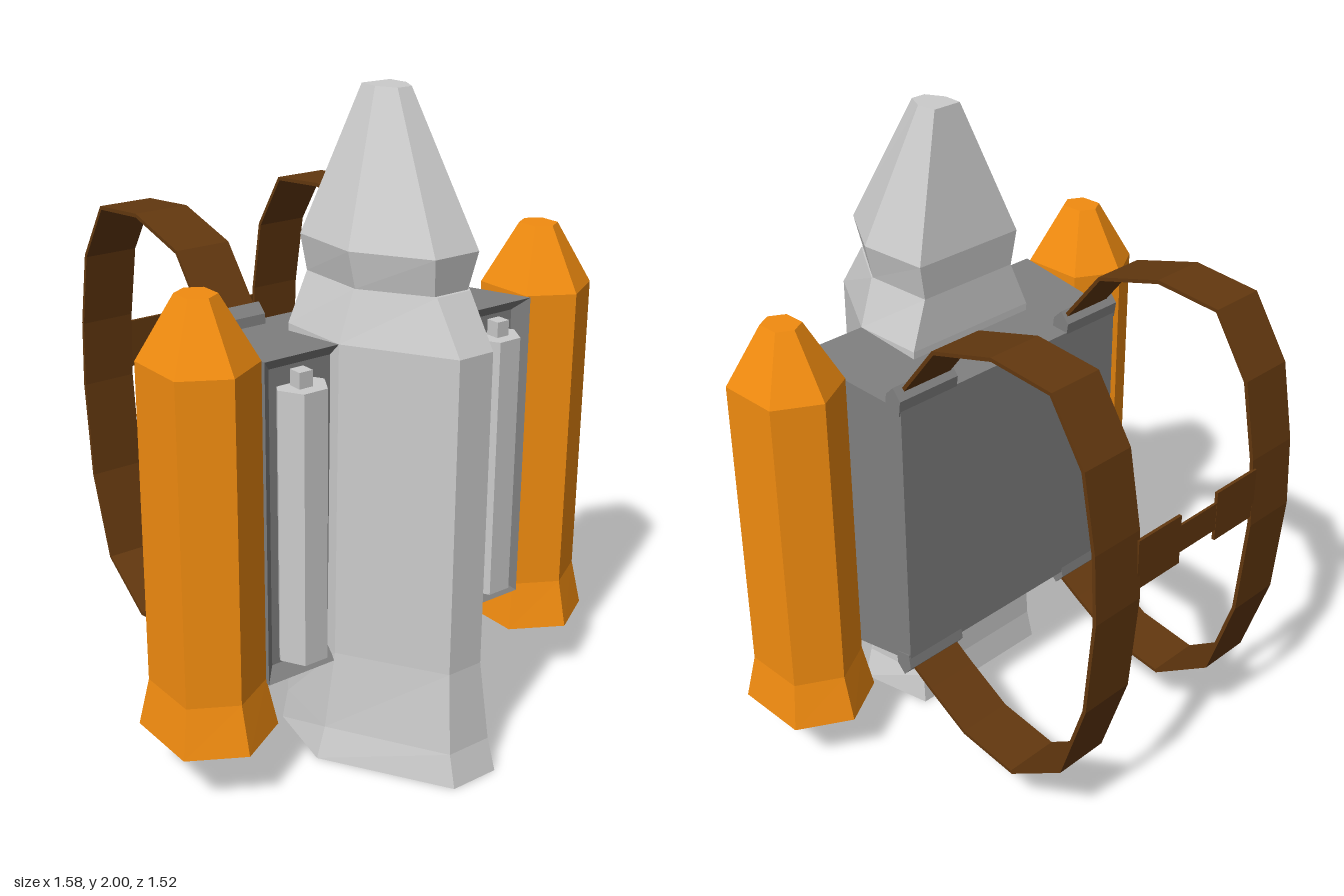
import * as THREE from 'three';

const material = (color) => new THREE.MeshStandardMaterial({ color, flatShading: true, side: THREE.DoubleSide });
const grey = material(0xcccccc);
const darkGrey = material(0x808080);
const orange = material(0xf28c10);
const brown = material(0x63380f);

// Skin a list of convex cross-sections and cap both ends
function loft(sections) {
  const n = sections[0].length;
  const index = [];
  for (let i = 0; i < sections.length - 1; i++) {
    for (let j = 0; j < n; j++) {
      const a = i * n + j, b = i * n + (j + 1) % n;
      index.push(a, b, b + n, a, b + n, a + n);
    }
  }
  const last = (sections.length - 1) * n;
  for (let j = 1; j < n - 1; j++) {
    index.push(0, j + 1, j, last, last + j, last + j + 1);
  }
  const geometry = new THREE.BufferGeometry();
  geometry.setAttribute('position', new THREE.Float32BufferAttribute(sections.flat(2), 3));
  geometry.setIndex(index);
  const flat = geometry.toNonIndexed();
  flat.computeVertexNormals();
  return flat;
}

function add(parent, name, geometry, mat, x = 0, y = 0, z = 0) {
  const mesh = new THREE.Mesh(geometry, mat);
  mesh.name = name;
  mesh.position.set(x, y, z);
  parent.add(mesh);
  return mesh;
}

// Six-sided rocket section: narrow front, widest sides, flat back
const rocketRing = ([y, frontX, frontZ, sideX, sideZ, backX, backZ]) => [
  [frontX, y, frontZ], [sideX, y, sideZ], [backX, y, backZ],
  [-backX, y, backZ], [-sideX, y, sideZ], [-frontX, y, frontZ],
];

// Hexagon with points towards front and back
const boosterRing = ([y, rx, rz]) => [
  [0, y, rz], [rx, y, rz * 0.57], [rx, y, -rz * 0.57],
  [0, y, -rz], [-rx, y, -rz * 0.57], [-rx, y, rz * 0.57],
];

const packRing = ([z, x, y0, y1]) => [[-x, y0, z], [x, y0, z], [x, y1, z], [-x, y1, z]];

// Extrude a (z, y) outline across x, centred on x = 0
function extrudeAcross(points, width) {
  const shape = new THREE.Shape(points.map(([z, y]) => new THREE.Vector2(-z, y)));
  return new THREE.ExtrudeGeometry(shape, { depth: width, bevelEnabled: false })
    .translate(0, 0, -width / 2).rotateY(Math.PI / 2);
}

// Strap outline: a path thickened towards the inside of the loop
function strapOutline(path, thickness) {
  const inner = path.map((p, i) => {
    const a = path[Math.max(i - 1, 0)], b = path[Math.min(i + 1, path.length - 1)];
    const dz = b[0] - a[0], dy = b[1] - a[1], len = Math.hypot(dz, dy);
    return [p[0] - dy / len * thickness, p[1] + dz / len * thickness];
  });
  return [...path, ...inner.reverse()];
}

export function createModel() {
  const model = new THREE.Group();
  model.name = 'rocketPack';

  // Central rocket with a hollow flared nozzle
  add(model, 'centralRocket', loft([
    [0.08, 0.06, 0.64, 0.21, 0.38, 0.16, 0.20],
    [0, 0.08, 0.76, 0.31, 0.39, 0.26, 0.14],
    [0.10, 0.075, 0.73, 0.28, 0.39, 0.25, 0.155],
    [0.35, 0.06, 0.70, 0.25, 0.40, 0.24, 0.16],
    [1.32, 0.06, 0.70, 0.24, 0.40, 0.24, 0.16],
    [1.47, 0.06, 0.60, 0.19, 0.40, 0.18, 0.17],
  ].map(rocketRing)), grey);
  add(model, 'collar', loft([
    [1.47, 0.06, 0.59, 0.185, 0.40, 0.18, 0.17],
    [1.58, 0.078, 0.61, 0.21, 0.40, 0.20, 0.165],
  ].map(rocketRing)), grey);
  add(model, 'noseCone', loft([
    [1.58, 0.078, 0.61, 0.21, 0.40, 0.20, 0.165],
    [2, 0.025, 0.375, 0.055, 0.315, 0.05, 0.25],
  ].map(rocketRing)), grey);

  // Tapered backpack with a recessed front
  add(model, 'backpack', loft([
    [-0.02, 0.455, 0.37, 1.28],
    [0.04, 0.46, 0.37, 1.285],
    [0.40, 0.49, 0.325, 1.32],
    [0.36, 0.45, 0.36, 1.28],
  ].map(packRing)), darkGrey);

  const strapPath = [
    [0, 1.335], [-0.13, 1.50], [-0.36, 1.565], [-0.58, 1.545], [-0.70, 1.36],
    [-0.745, 1.12], [-0.757, 0.90], [-0.73, 0.58], [-0.64, 0.30],
    [-0.44, 0.165], [-0.23, 0.195], [-0.08, 0.28], [0, 0.33],
  ];
  const strap = extrudeAcross(strapOutline(strapPath, 0.012), 0.18);
  const mount = [[0.04, 1.27], [0.035, 1.315], [0.005, 1.345], [-0.025, 1.31], [-0.018, 1.26]];
  const topMount = extrudeAcross(mount, 0.225);
  const bottomMount = extrudeAcross(mount.map(([z, y]) => [z, 1.66 - y]).reverse(), 0.225);
  const booster = loft([
    [0.24, 0.115, 0.15], [0.19, 0.163, 0.215], [0.34, 0.137, 0.178],
    [1.32, 0.137, 0.178], [1.51, 0.048, 0.062],
  ].map(boosterRing));
  const canister = new THREE.CylinderGeometry(0.08, 0.08, 0.84, 6).rotateY(Math.PI / 6);

  for (const [side, s] of [['left', 1], ['right', -1]]) {
    add(model, side + 'Booster', booster, orange, 0.625 * s, 0, 0.282);

    // Fuel canister in the front recess
    add(model, side + 'Canister', canister, grey, 0.36 * s, 0.805, 0.387);
    add(model, side + 'CanisterValve', new THREE.BoxGeometry(0.045, 0.05, 0.045), grey, 0.365 * s, 1.248, 0.395);

    // Shoulder strap and its mounts
    add(model, side + 'TopMount', topMount, darkGrey, 0.348 * s);
    add(model, side + 'BottomMount', bottomMount, darkGrey, 0.348 * s);
    add(model, side + 'Strap', strap, brown, 0.34 * s);
    add(model, side + 'StrapTab', new THREE.BoxGeometry(0.18, 0.16, 0.01), brown, 0.17 * s, 1.01, -0.748);
  }

  // Narrow link between the strap tabs
  add(model, 'chestLink', new THREE.BoxGeometry(0.2, 0.09, 0.008), brown, 0, 1.01, -0.748);
  return model;
}
